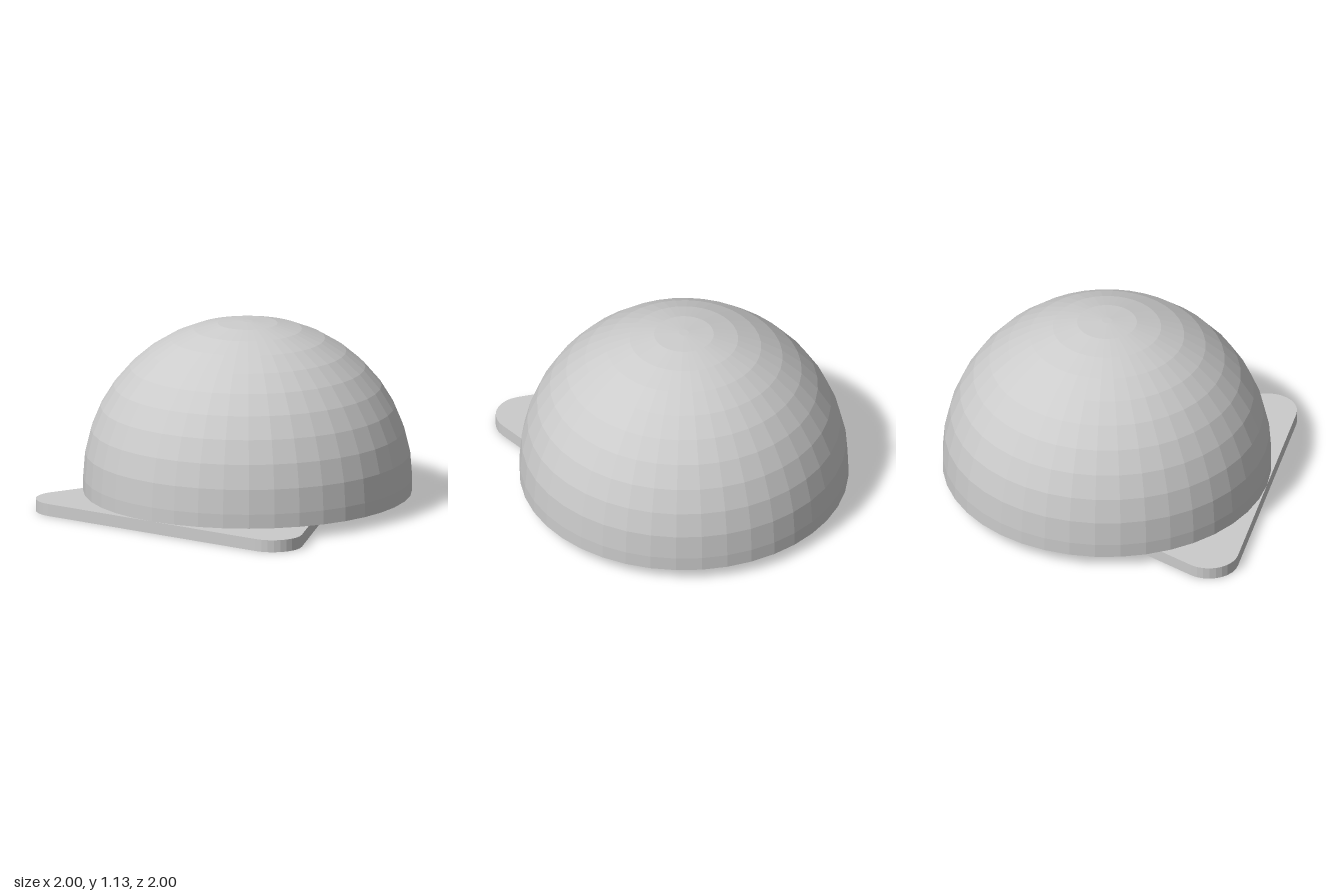
import * as THREE from 'three';

const PLATE_TOP = 0.075;
const material = new THREE.MeshStandardMaterial({ color: 0xcccccc, flatShading: true });

// Faceted dome: short straight skirt, then a quarter-round with a tiny flat crown
function domeGeometry() {
  const crown = 0.03, radius = 0.97, centreY = 0.162, rings = 10;
  const profile = [new THREE.Vector2(0, PLATE_TOP), new THREE.Vector2(1, PLATE_TOP)];
  for (let i = 0; i <= rings; i++) {
    const a = (i / rings) * Math.PI / 2;
    profile.push(new THREE.Vector2(crown + radius * Math.cos(a), centreY + radius * Math.sin(a)));
  }
  profile.push(new THREE.Vector2(0, centreY + radius));
  return new THREE.LatheGeometry(profile, 40);
}

// Rounded triangular plate: broad nose on +x, two tight corners on -x
function plateGeometry() {
  const points = [];
  const arc = (cx, cy, r, from, to, steps) => {
    for (let i = 0; i <= steps; i++) {
      const a = THREE.MathUtils.degToRad(from + (to - from) * i / steps);
      points.push(new THREE.Vector2(cx + r * Math.cos(a), cy + r * Math.sin(a)));
    }
  };
  arc(0.01, 0, 0.53, -66, 66, 11);
  arc(-0.82, 0.775, 0.18, 66, 180, 9);
  arc(-0.82, -0.775, 0.18, 180, 294, 9);
  const geometry = new THREE.ExtrudeGeometry(new THREE.Shape(points), { depth: PLATE_TOP, bevelEnabled: false });
  return geometry.rotateX(-Math.PI / 2);
}

export function createModel() {
  const group = new THREE.Group();
  const add = (name, geometry) => {
    const mesh = new THREE.Mesh(geometry, material);
    mesh.name = name;
    group.add(mesh);
  };
  add('dome', domeGeometry());
  add('basePlate', plateGeometry());
  return group;
}
